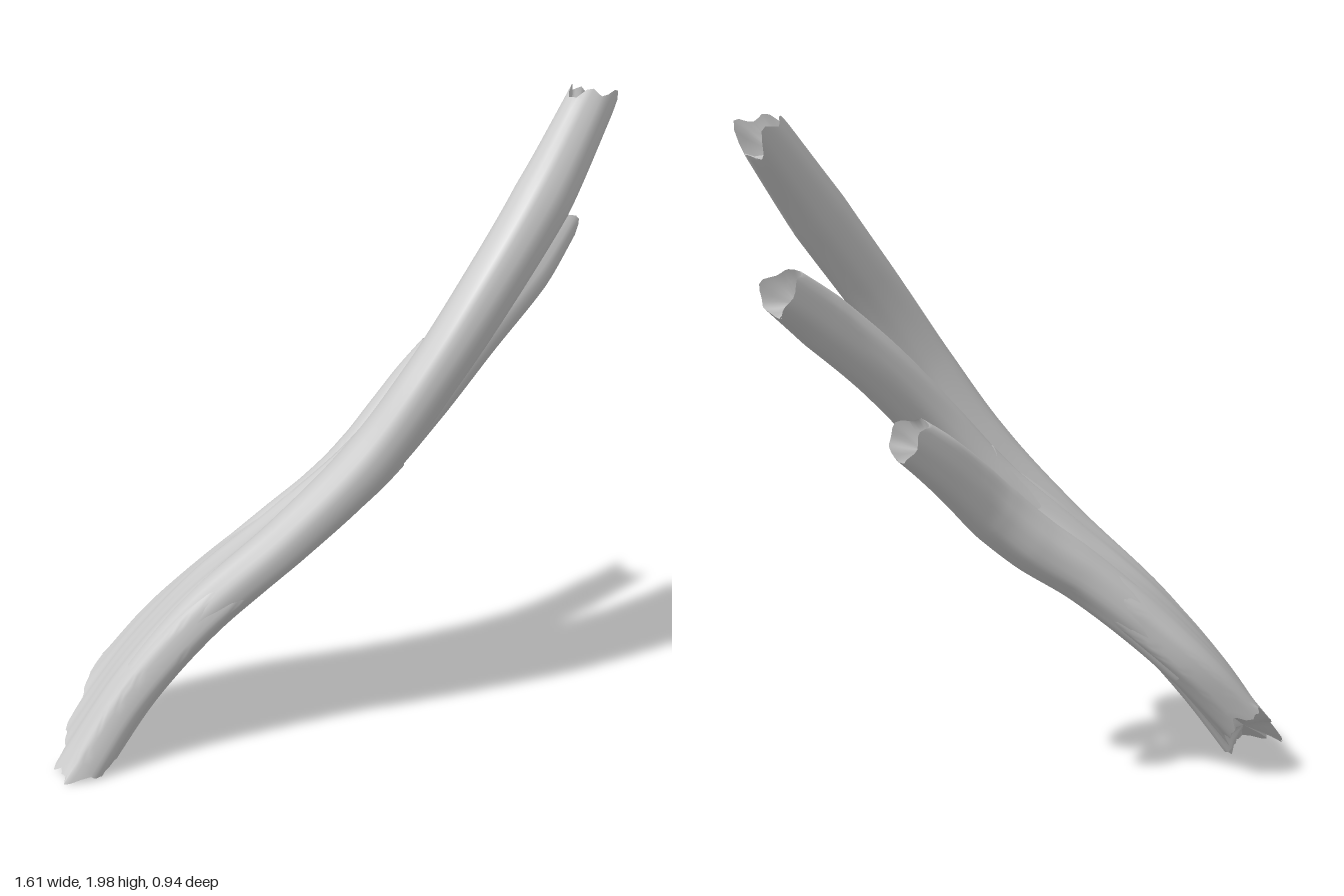
import * as THREE from 'three';
import { mergeVertices, toCreasedNormals } from 'three/addons/utils/BufferGeometryUtils.js';

const material = new THREE.MeshStandardMaterial({ color: 0xcccccc, side: THREE.DoubleSide });
const curve = (pts) => new THREE.CatmullRomCurve3(pts.map((p) => new THREE.Vector3(...p)));

// Centre lines of the three limbs; they run side by side in the trunk, then part.
const limbs = [
  {
    name: 'upperLimb', radii: [0.06, 0.065, 0.07, 0.075, 0.081, 0.078, 0.082, 0.086, 0.07], jag: 0.05, phase: 0.4,
    path: curve([[-0.72, 0.02, -0.24], [-0.57, 0.25, -0.18], [-0.4, 0.49, -0.07], [-0.2, 0.74, 0.1],
      [-0.02, 0.99, 0.245], [0.135, 1.25, 0.34], [0.28, 1.46, 0.385], [0.48, 1.7, 0.4], [0.7, 1.935, 0.37]]),
  },
  {
    name: 'middleLimb', radii: [0.055, 0.06, 0.066, 0.074, 0.082, 0.079, 0.078, 0.078, 0.066], jag: 0.022, phase: 2.1,
    path: curve([[-0.61, 0.05, -0.33], [-0.46, 0.28, -0.25], [-0.3, 0.5, -0.14], [-0.12, 0.71, 0.01],
      [0.06, 0.9, 0.13], [0.21, 1.08, 0.2], [0.4, 1.265, 0.235], [0.6, 1.415, 0.245], [0.765, 1.515, 0.215]]),
  },
  {
    name: 'lowerLimb', radii: [0.06, 0.065, 0.07, 0.075, 0.082, 0.084, 0.078, 0.072, 0.064], jag: 0.025, phase: 4.0,
    path: curve([[-0.49, 0.15, -0.405], [-0.35, 0.33, -0.325], [-0.21, 0.5, -0.215], [-0.07, 0.645, -0.11],
      [0.06, 0.75, -0.035], [0.17, 0.85, 0.01], [0.28, 0.95, 0.02], [0.39, 1.035, 0.015], [0.495, 1.105, 0.01]]),
  },
];

function radiusAt(radii, t) {
  const f = t * (radii.length - 1);
  const i = Math.min(Math.floor(f), radii.length - 2);
  return THREE.MathUtils.lerp(radii[i], radii[i + 1], f - i);
}

// Closes an end with a splintered hollow: an inset ring and a deep centre.
function hollow(ring, inward, depth) {
  const c = new THREE.Vector3();
  ring.forEach((p) => c.addScaledVector(p, 1 / ring.length));
  const inset = (k, d) => ring.map((p) => {
    const q = p.clone().lerp(c, k).addScaledVector(inward, d);
    q.y = Math.max(q.y, 0);
    return q;
  });
  return [inset(0.25, depth * 0.4), inset(1, depth)];
}

// Skins a list of closed rings.
function skin(name, rings) {
  const n = rings[0].length;
  const index = [];
  for (let i = 0; i < rings.length - 1; i++) {
    for (let j = 0; j < n; j++) {
      const a = i * n + j, b = i * n + (j + 1) % n;
      index.push(a, b, a + n, b, b + n, a + n);
    }
  }
  let geo = new THREE.BufferGeometry().setFromPoints(rings.flat());
  geo.setIndex(index);
  geo = toCreasedNormals(mergeVertices(geo, 1e-5), 0.8);
  const mesh = new THREE.Mesh(geo, material);
  mesh.name = name;
  return mesh;
}

// One limb: an oval tube that grows out of the trunk and ends in a broken tip.
function makeLimb({ name, path, radii, jag, phase }) {
  const steps = 60, sides = 28, rings = [];
  for (let i = 0; i <= steps; i++) {
    const t = 0.15 + 0.85 * i / steps;
    const c = path.getPoint(t), dir = path.getTangent(t);
    const v = new THREE.Vector3(0, 0, 1).addScaledVector(dir, -dir.z).normalize();
    const u = dir.clone().cross(v);
    const r = radiusAt(radii, t);
    const ring = [];
    for (let j = 0; j < sides; j++) {
      const a = j / sides * Math.PI * 2;
      const bark = 1 + 0.035 * Math.sin(3 * a + phase + 5 * t) + 0.022 * Math.sin(7 * a - phase + 4 * t);
      const p = c.clone()
        .addScaledVector(v, Math.cos(a) * r * bark * 0.93)
        .addScaledVector(u, Math.sin(a) * r * bark * 1.06);
      if (i === steps) p.addScaledVector(dir, jag * (0.7 * Math.cos(2 * a) + 0.4 * Math.sin(5 * a + phase)));
      ring.push(p);
    }
    rings.push(ring);
  }
  const tip = hollow(rings[steps], path.getTangent(1).negate(), 0.08);
  return skin(name, [...rings, ...tip]);
}

// The flat trunk: smooth on its upper back, furrowed below, with two grooves
// that deepen up to the forks and a splintered foot.
function makeTrunk() {
  const steps = 40, sides = 72, rings = [];
  for (let i = 0; i <= steps; i++) {
    const s = i / steps, t = s * 4.35 / 8;
    const [A, B, C] = limbs.map((l) => l.path.getPoint(t));
    const dir = limbs[1].path.getTangent(t);
    const across = A.clone().sub(C);
    const n = dir.clone().cross(across).normalize();
    const spread = 1 + 2 * 0.078 * (1 - s ** 3) / across.length();
    const ring = [];
    for (let j = 0; j < sides; j++) {
      const a = j / sides * Math.PI * 2;
      const side = Math.sign(Math.sin(a));
      const k = 0.5 - 0.5 * Math.cos(a) * spread;
      const p = k < 0.5 ? A.clone().lerp(B, k * 2) : B.clone().lerp(C, k * 2 - 1);
      const centre = p.clone();
      const inner = THREE.MathUtils.clamp(k, 0, 1);
      const groove = (side > 0 ? 0.16 : 0.04) + 0.75 * s ** 4;
      const bark = 1 + (side > 0 ? 0.05 : 0.02) * Math.sin(24 * k + 3 * s);
      const h = 0.083 * bark * (1 - groove * Math.sin(2 * Math.PI * inner) ** 2);
      p.addScaledVector(n, h * side * Math.abs(Math.sin(a)) ** 0.6);
      // slide the foot along the grain so that its upper end lies level
      const level = Math.max(0, 1 - i / 6) * (0.85 - 0.7 * inner);
      p.addScaledVector(dir, -level * (p.y - centre.y) / dir.y);
      if (i === 0) p.addScaledVector(dir, 0.016 * Math.sin(9 * a) + 0.01 * Math.sin(17 * a + 1));
      p.y = Math.max(p.y, 0);
      ring.push(p);
    }
    rings.push(ring);
  }
  const dir = limbs[1].path.getTangent(0);
  const foot = hollow(rings[0], dir, 0.04).reverse();
  const forks = hollow(rings[steps], dir.clone().negate(), 0.03);
  return skin('trunk', [...foot, ...rings, ...forks]);
}

export function createModel() {
  const group = new THREE.Group();
  group.name = 'brokenBranch';
  group.add(makeTrunk(), ...limbs.map(makeLimb));
  return group;
}
